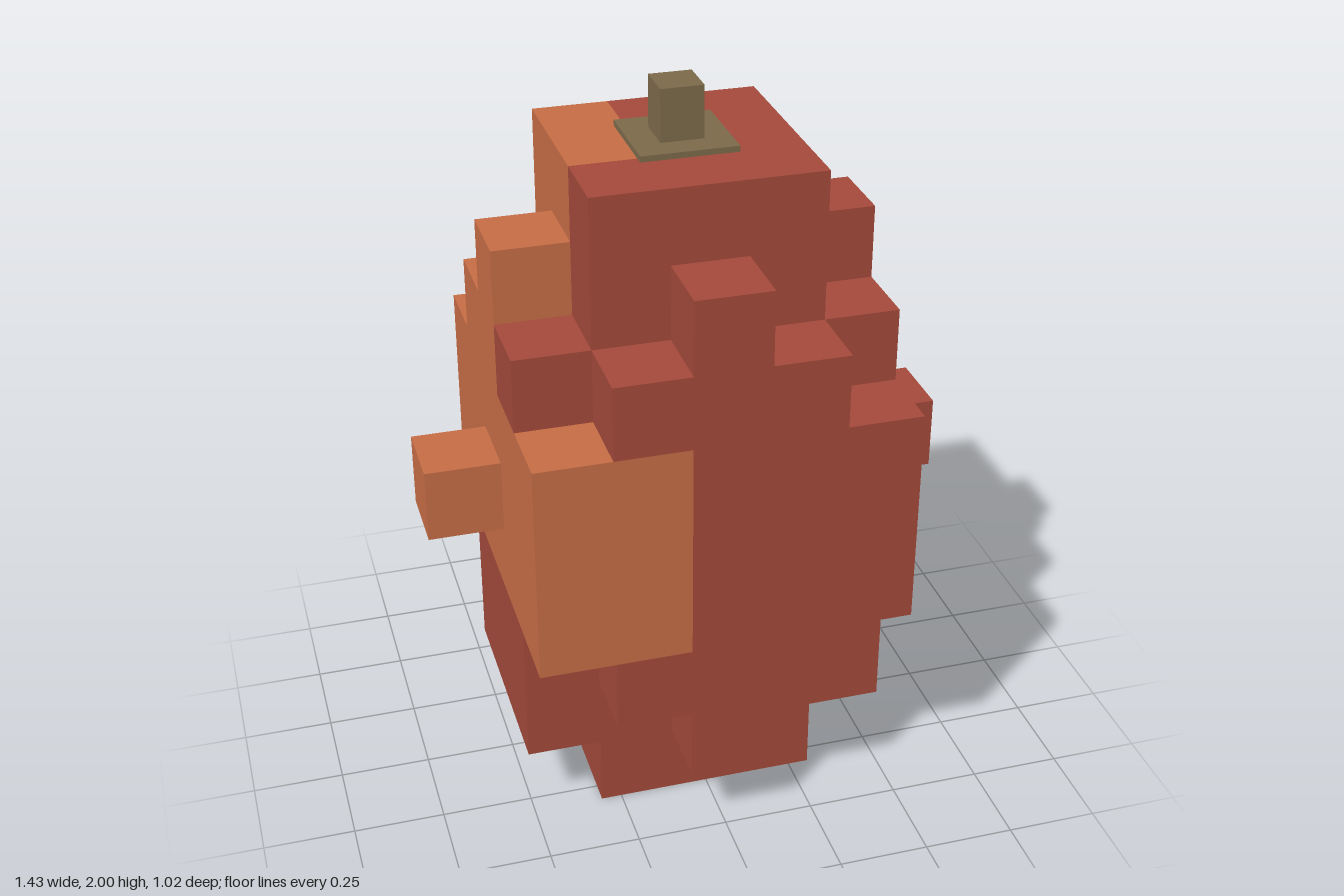
import * as THREE from 'three';
import { mergeGeometries } from 'three/addons/utils/BufferGeometryUtils.js';

const CELL = 1.842 / 9;

// Is there a block at column x, level y, row z (x and z counted from the centre)?
function solid(x, y, z) {
  const ax = Math.abs(x), az = Math.abs(z);
  if (ax === 3) return y === 4 && az === 0;              // side knobs
  if (ax > 2 || az > 2 || y < 0 || y > 8) return false;
  if (ax < 2 && az < 2) return true;                     // 3 x 3 core
  if (y >= 3 && y <= 5) return true;                     // full belly
  if (y === 2 || y === 6) return ax < 2 || az < 2;       // corners cut
  if (y === 7) return ax === 0 || az === 0;              // one bump per side
  if (y === 1) return az < 2 || ax === 0;                // wide sides, narrow front and back
  return false;
}

// Two-tone patchwork: each tier is split into quadrants
function isOrange(x, y, z) {
  const west = x <= -1, back = z <= 0;
  if (x === 3) return false;
  if (y >= 6) return west && back;
  if (y >= 3) return west || back;
  return !west && back;
}

// One outward-facing square for each of the six directions
const H = Math.PI / 2;
const sides = [
  [0, 0, 1, 0, 0], [0, 0, -1, 0, 2 * H], [1, 0, 0, 0, H],
  [-1, 0, 0, 0, -H], [0, 1, 0, -H, 0], [0, -1, 0, H, 0],
].map(([dx, dy, dz, rx, ry]) => ({
  dx, dy, dz,
  square: new THREE.PlaneGeometry(CELL, CELL).rotateX(rx).rotateY(ry)
    .translate(dx * CELL / 2, dy * CELL / 2, dz * CELL / 2),
}));

// Exposed faces of every block accepted by the filter
function blocks(accept) {
  const faces = [];
  for (let x = -3; x <= 3; x++)
    for (let y = 0; y <= 8; y++)
      for (let z = -2; z <= 2; z++) {
        if (!solid(x, y, z) || !accept(x, y, z)) continue;
        for (const { dx, dy, dz, square } of sides)
          if (!solid(x + dx, y + dy, z + dz))
            faces.push(square.clone().translate(x * CELL, (y + 0.5) * CELL, z * CELL));
      }
  return mergeGeometries(faces);
}

export function createModel() {
  const model = new THREE.Group();
  model.name = 'blockFruit';

  const material = (name, color) => {
    const m = new THREE.MeshStandardMaterial({ color });
    m.name = name;
    return m;
  };
  const red = material('brickRed', 0xa3493a);
  const orange = material('orange', 0xc56d45);
  const brown = material('stemBrown', 0x7c694a);

  const add = (name, geometry, mat, parent = model) => {
    const mesh = new THREE.Mesh(geometry, mat);
    mesh.name = name;
    parent.add(mesh);
  };

  // Body tiers, each in two colours
  const tiers = [['base', 0, 2], ['belly', 3, 5], ['crown', 6, 8]];
  for (const [name, low, high] of tiers) {
    const tier = new THREE.Group();
    tier.name = name;
    const inTier = (x, y) => Math.abs(x) < 3 && y >= low && y <= high;
    add(name + 'Red', blocks((x, y, z) => inTier(x, y) && !isOrange(x, y, z)), red, tier);
    add(name + 'Orange', blocks((x, y, z) => inTier(x, y) && isOrange(x, y, z)), orange, tier);
    model.add(tier);
  }

  // Side knobs
  add('leftKnob', blocks((x) => x === 3), red);
  add('rightKnob', blocks((x) => x === -3), orange);

  // Stem on its thin plate
  add('stemPlate', new THREE.BoxGeometry(0.26, 0.016, 0.26).translate(0, 1.85, 0), brown);
  add('stem', new THREE.BoxGeometry(0.115, 0.142, 0.115).translate(0, 1.929, 0), brown);

  return model;
}
